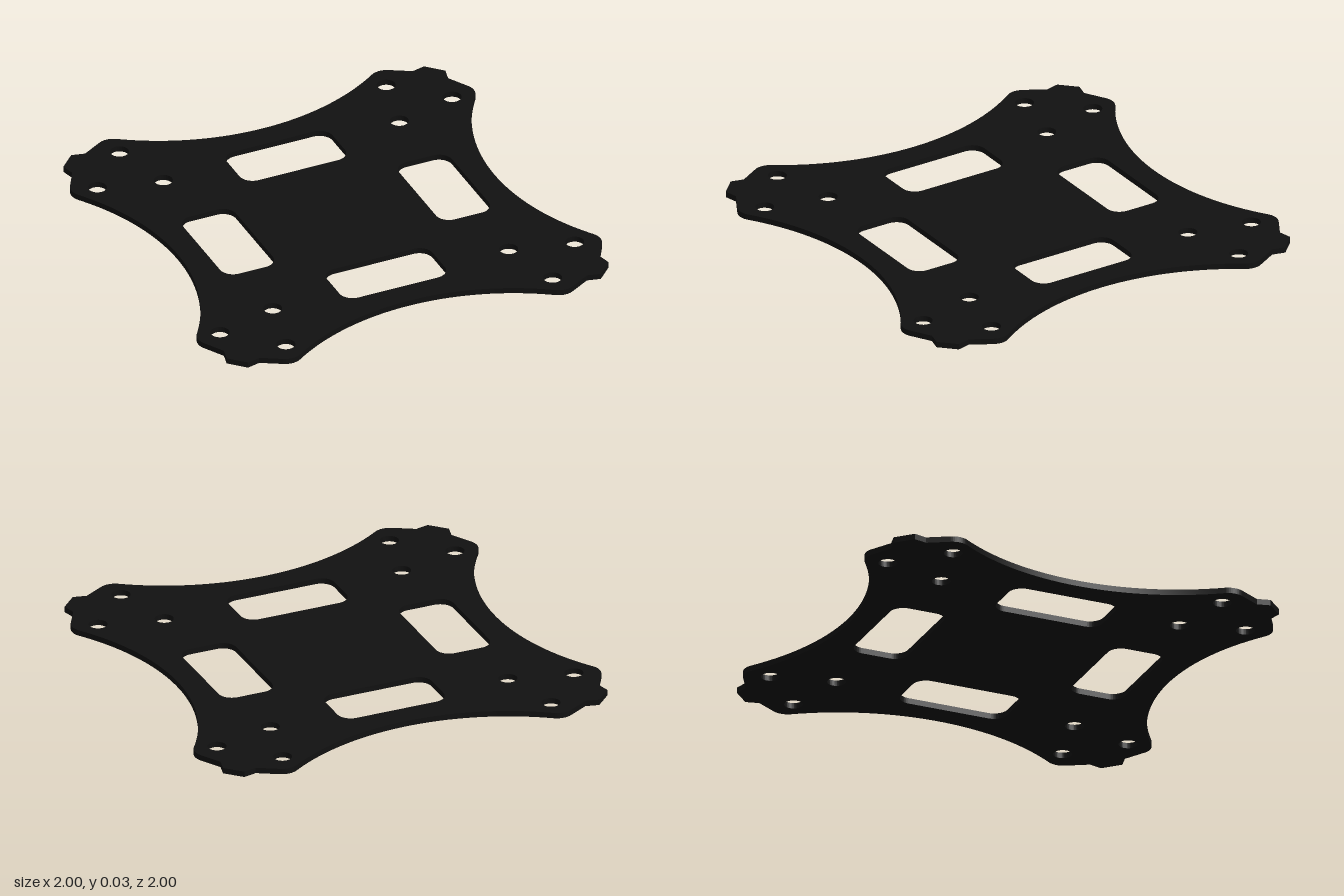
import * as THREE from 'three';
import { toCreasedNormals } from 'three/addons/utils/BufferGeometryUtils.js';

const THICKNESS = 0.027;
const LOBE = [0.68, 0.92], LOBE_R = 0.08;   // rounded ears beside each corner
const ARC_C = 1.905;                        // centre distance of the concave sides
const ARC_R = Math.hypot(ARC_C - LOBE[1], LOBE[0]) - LOBE_R;
const TANGENT = Math.atan2(ARC_C - LOBE[1], -LOBE[0]);  // where ear meets side
const EAR_END = Math.atan2(0.85, 0.53);
const CORNER = [[0.815, 0.935], [0.877, 0.95], [0.95, 0.877], [0.935, 0.815]];

// Rotate a point clockwise by k quarter turns
function turn([x, y], k) {
  for (let i = 0; i < k; i++) [x, y] = [y, -x];
  return [x, y];
}

function roundedRect(cx, cy, hw, hh, r) {
  const p = new THREE.Path();
  const h = Math.PI / 2;
  p.absarc(cx + hw - r, cy + hh - r, r, 0, h);
  p.absarc(cx - hw + r, cy + hh - r, r, h, 2 * h);
  p.absarc(cx - hw + r, cy - hh + r, r, 2 * h, 3 * h);
  p.absarc(cx + hw - r, cy - hh + r, r, 3 * h, 4 * h);
  p.closePath();
  return p;
}

function plateShape() {
  const shape = new THREE.Shape();
  for (let k = 0; k < 4; k++) {
    const a = -k * Math.PI / 2;
    // first ear, stepped corner tab, mirrored second ear
    shape.absarc(...turn(LOBE, k), LOBE_R, a + TANGENT, a + EAR_END, true);
    CORNER.forEach(p => shape.lineTo(...turn(p, k)));
    shape.absarc(...turn([LOBE[1], LOBE[0]], k), LOBE_R,
      a + Math.PI / 2 - EAR_END, a + Math.PI / 2 - TANGENT, true);
    // concave side
    const half = Math.atan2(LOBE[0], ARC_C - LOBE[1]);
    shape.absarc(...turn([ARC_C, 0], k), ARC_R, a + Math.PI - half, a + Math.PI + half, false);

    // rectangular window
    const [wx, wy] = turn([0, 0.537], k);
    const wide = k % 2 === 0;
    shape.holes.push(roundedRect(wx, wy, wide ? 0.262 : 0.131, wide ? 0.131 : 0.262, 0.065));

    // screw holes
    for (const p of [[0.658, 0.882], [0.886, 0.667], [0.587, 0.587]]) {
      const hole = new THREE.Path();
      hole.absarc(...turn(p, k), 0.043, 0, Math.PI * 2);
      shape.holes.push(hole);
    }
  }
  shape.closePath();
  return shape;
}

export function createModel() {
  const group = new THREE.Group();
  group.name = 'mountingPlate';
  const geometry = new THREE.ExtrudeGeometry(plateShape(), {
    depth: THICKNESS, bevelEnabled: false, curveSegments: 24,
  });
  geometry.rotateX(-Math.PI / 2);
  const plate = new THREE.Mesh(
    toCreasedNormals(geometry, Math.PI / 6),
    new THREE.MeshStandardMaterial({ color: 0x111111 })
  );
  plate.name = 'plate';
  group.add(plate);
  return group;
}
